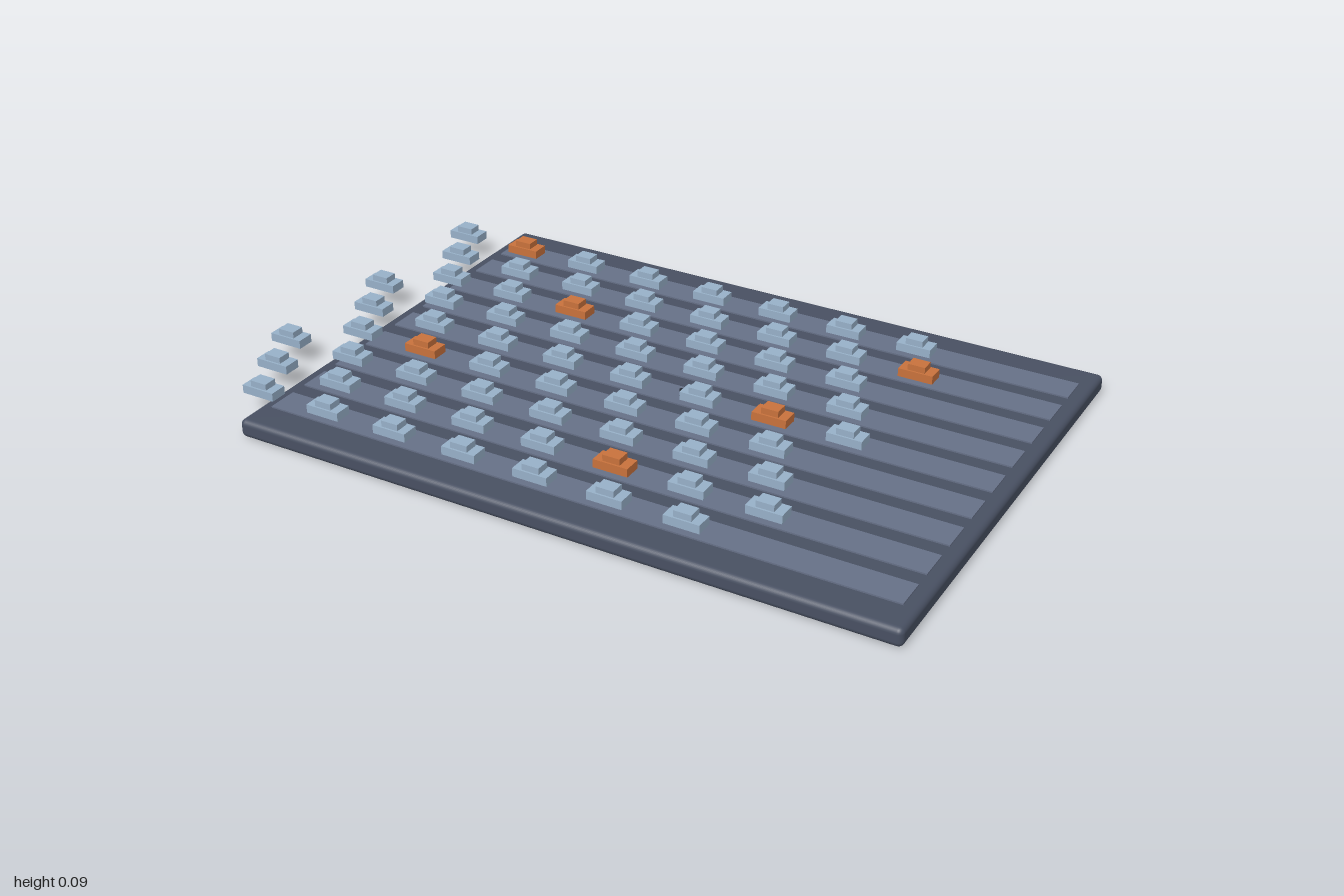
import * as THREE from 'three';
import { RoundedBoxGeometry } from 'three/addons/geometries/RoundedBoxGeometry.js';

const material = (name, color) => {
  const m = new THREE.MeshStandardMaterial({ color });
  m.name = name;
  return m;
};

export function createModel() {
  const slate = material('slate board', 0x485062);
  const laneGrey = material('lane grey', 0x667087);
  const paleBlue = material('pale blue', 0x97b0c8);
  const orange = material('orange', 0xc8723c);
  const dark = material('dark pin', 0x22262e);

  const model = new THREE.Group();
  model.name = 'trafficBoard';

  const add = (parent, name, geometry, mat, x, y, z) => {
    const mesh = new THREE.Mesh(geometry, mat);
    mesh.name = name;
    mesh.position.set(x, y, z);
    parent.add(mesh);
    return mesh;
  };

  // Base board with softened edges
  add(model, 'board', new RoundedBoxGeometry(1.803, 0.05, 1.31, 3, 0.015), slate, 0.0965, 0.025, 0);

  const laneGeometry = new THREE.BoxGeometry(1.732, 0.008, 0.085);
  const bodyGeometry = new THREE.BoxGeometry(0.096, 0.023, 0.048);
  const cabinGeometry = new THREE.BoxGeometry(0.048, 0.018, 0.038);

  // A car is a low body with a narrower cabin
  const addCar = (parent, mat, x, z) => {
    const car = new THREE.Group();
    car.name = 'car';
    car.position.set(x, 0.055, z);
    add(car, 'carBody', bodyGeometry, mat, 0, 0.0115, 0);
    add(car, 'carCabin', cabinGeometry, mat, 0, 0.031, 0);
    parent.add(car);
  };

  // Each lane: first car position, number of cars, index of the orange car
  const lanes = [
    [-0.915, 8, 1], [-0.853, 8, 7], [-0.793, 7, 2],
    [-0.934, 8, -1], [-0.873, 8, 6], [-0.812, 7, 1],
    [-0.952, 8, -1], [-0.892, 8, 5], [-0.831, 7, -1],
  ];
  lanes.forEach(([start, count, special], row) => {
    const lane = new THREE.Group();
    lane.name = `lane${row + 1}`;
    const z = (row - 4) * 0.131;
    add(lane, 'laneStrip', laneGeometry, laneGrey, 0.094, 0.05, z);
    for (let i = 0; i < count; i++) {
      addCar(lane, i === special ? orange : paleBlue, start + i * 0.2055, z);
    }
    model.add(lane);
  });

  // Tiny pin at the middle of the board
  add(model, 'centrePin', new THREE.CylinderGeometry(0.006, 0.006, 0.02, 12), dark, 0.1, 0.062, 0);

  return model;
}
